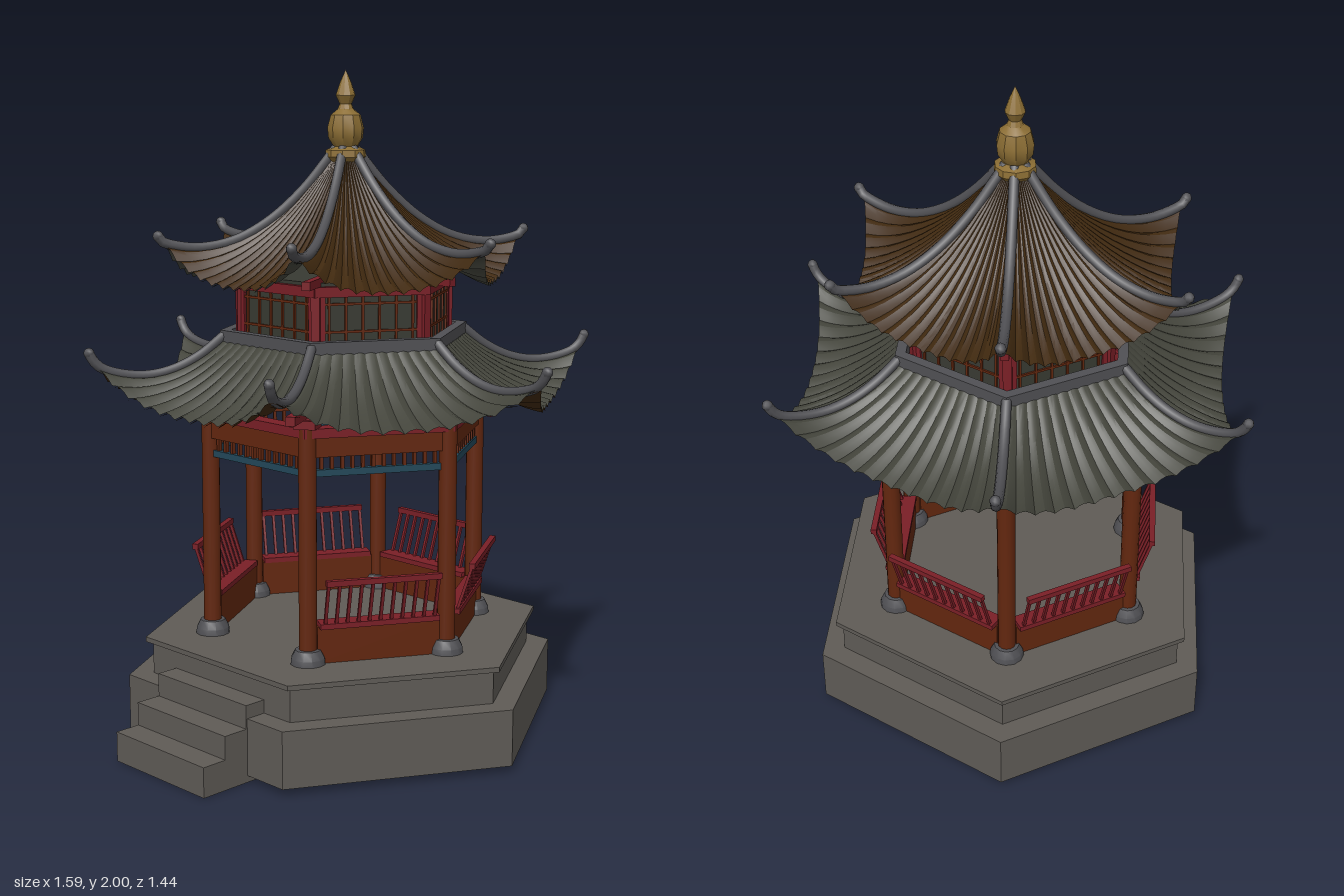
import * as THREE from 'three';
import { toCreasedNormals } from 'three/addons/utils/BufferGeometryUtils.js';

const mat = (name, color) => Object.assign(new THREE.MeshStandardMaterial({ color }), { name });

export function createModel() {
  const stone = mat('stone', 0x5f5b56);
  const ridgeGrey = mat('ridge grey', 0x505054);
  const greyTile = mat('grey green tile', 0x43443b);
  const amberTile = mat('amber tile', 0x40290f);
  const wood = mat('brown wood', 0x63270f);
  const red = mat('red lacquer', 0x7a1f26);
  const teal = mat('teal paint', 0x23485a);
  const gold = mat('gold', 0x8c6e34);
  const windowDark = mat('window', 0x383a32);

  const model = new THREE.Group();
  model.name = 'pavilion';
  const hexBody = new THREE.Group();
  hexBody.name = 'hexagonalBody';
  hexBody.position.z = -0.028;
  model.add(hexBody);

  const add = (parent, name, geo, material, x = 0, y = 0, z = 0) => {
    const m = new THREE.Mesh(geo, material);
    m.name = name;
    m.position.set(x, y, z);
    parent.add(m);
    return m;
  };
  // box given by width, bottom and top height, depth
  const box = (parent, name, material, w, y0, y1, d, x = 0, z = 0) =>
    add(parent, name, new THREE.BoxGeometry(w, y1 - y0, d), material, x, (y0 + y1) / 2, z);
  const hex = (name, material, r, y0, y1) =>
    add(hexBody, name, toCreasedNormals(
      new THREE.CylinderGeometry(r, r, y1 - y0, 6, 1, false, Math.PI / 6), 0.6), material, 0, (y0 + y1) / 2);
  // six copies around the axis; offset turns from sides to corners
  const around = (name, offset, build) => {
    for (let i = 0; i < 6; i++) {
      const g = new THREE.Group();
      g.name = name;
      g.rotation.y = i * Math.PI / 3 + offset;
      hexBody.add(g);
      build(g, i);
    }
  };
  const SIDE = 0, CORNER = Math.PI / 6, APO = Math.cos(Math.PI / 6);

  // stepped platform
  hex('platformBase', stone, 0.68, 0.02, 0.19);
  hex('platformUpper', stone, 0.605, 0.19, 0.29);
  hex('platformLip', stone, 0.627, 0.29, 0.305);

  // front stairs
  [[0.09, 0.725], [0.16, 0.645], [0.23, 0.565]].forEach(([top, z], i) =>
    box(model, 'step', stone, 0.39, i ? [0, 0.09, 0.16][i] : 0, top, z - 0.48, 0, (z + 0.48) / 2));

  // columns with stone feet, brackets and hip rafters
  const foot = toCreasedNormals(new THREE.LatheGeometry(
    [[0, 0], [0.052, 0], [0.05, 0.018], [0.038, 0.042], [0, 0.045]].map(p => new THREE.Vector2(...p)), 12), 0.6);
  const shaft = new THREE.CylinderGeometry(0.027, 0.027, 0.69, 12);
  around('columnCorner', CORNER, g => {
    add(g, 'columnFoot', foot, ridgeGrey, 0, 0.305, 0.42);
    add(g, 'column', shaft, wood, 0, 0.665, 0.42);
    box(g, 'bracketBlock', red, 0.065, 1.0, 1.025, 0.065, 0, 0.42);
    box(g, 'bracketNeck', red, 0.035, 1.025, 1.075, 0.035, 0, 0.42);
    box(g, 'hipRafter', red, 0.028, 1.036, 1.062, 0.24, 0, 0.47);
    box(g, 'upperPost', red, 0.026, 1.18, 1.39, 0.026, 0, 0.323);
    box(g, 'upperHipRafter', red, 0.024, 1.39, 1.415, 0.16, 0, 0.35);
  });

  // beams, hanging fretwork and leaning benches on each side
  around('bay', SIDE, (g, i) => {
    const d = 0.42 * APO;
    box(g, 'topBeam', red, 0.448, 0.972, 1.0, 0.05, 0, d);
    box(g, 'lintel', wood, 0.4, 0.915, 0.972, 0.03, 0, d);
    box(g, 'fretRail', teal, 0.38, 0.858, 0.878, 0.02, 0, d);
    for (let k = 0; k < 12; k++)
      box(g, 'fretSpindle', wood, 0.01, 0.875, 0.918, 0.012, -0.17 + k * 0.34 / 11, d);
    if (i === 0) return; // open entrance
    box(g, 'benchPanel', wood, 0.37, 0.305, 0.415, 0.03, 0, d);
    box(g, 'benchSeat', red, 0.36, 0.412, 0.428, 0.055, 0, d + 0.008);
    box(g, 'backRail', red, 0.345, 0.55, 0.567, 0.018, 0, 0.432);
    for (let k = 0; k < 11; k++) {
      const b = box(g, 'baluster', red, 0.009, 0.42, 0.558, 0.009, -0.165 + k * 0.033, 0.41);
      b.rotation.x = 0.31;
    }
  });

  // upper storey with lattice windows
  hex('upperStorey', windowDark, 0.325, 1.17, 1.4);
  around('upperWall', SIDE, g => {
    const d = 0.325 * APO;
    box(g, 'upperTopBand', red, 0.342, 1.36, 1.39, 0.035, 0, d);
    for (const s of [-1, 1]) box(g, 'windowJamb', red, 0.02, 1.2, 1.36, 0.014, s * 0.147, d);
    for (let k = 0; k < 6; k++)
      box(g, 'latticeBar', wood, 0.007, 1.2, 1.36, 0.009, -0.125 + k * 0.05, d + 0.001);
    for (const y of [1.255, 1.335]) box(g, 'latticeRail', wood, 0.28, y, y + 0.007, 0.009, 0, d + 0.001);
    box(g, 'roofCollar', ridgeGrey, 0.385, 1.19, 1.237, 0.03, 0, 0.32);
  });

  // Corrugated curved roof: heights follow y0 + a*v + b*v^2 on mid line and on ridge
  const roof = (name, top, under, o) => {
    const height = ([a, b], v) => o.y0 + a * v + b * v * v;
    const tiles = 12, per = 4, nu = tiles * per, nv = 12;
    const pos = [], up = [], down = [];
    for (let j = 0; j <= nv; j++) for (let i = 0; i <= nu; i++) {
      const v = j / nv, u = i / nu * 2 - 1, c = Math.abs(u);
      const edge = THREE.MathUtils.lerp(o.mid, o.r1 * APO, c * c);
      const bump = o.bump * Math.sin(Math.PI * (i % per) / per) * Math.min(1, 0.25 + v);
      const yMid = height(o.midCurve, v), yRidge = height(o.ridgeCurve, v);
      pos.push(THREE.MathUtils.lerp(o.r0, o.r1, v) / 2 * u,
        THREE.MathUtils.lerp(yMid, yRidge, c ** 2.6) + bump,
        THREE.MathUtils.lerp(o.r0 * APO, edge, v));
      if (i < nu && j < nv) {
        const p = j * (nu + 1) + i, q = p + nu + 1;
        up.push(p, q, p + 1, q, q + 1, p + 1);
        down.push(p, p + 1, q, q, p + 1, q + 1);
      }
    }
    const surface = index => {
      const geo = new THREE.BufferGeometry();
      geo.setAttribute('position', new THREE.Float32BufferAttribute(pos, 3));
      geo.setIndex(index);
      return toCreasedNormals(geo, 0.35);
    };
    const upper = surface(up), lower = surface(down);
    around(name + 'Slope', SIDE, g => {
      add(g, name + 'Tiles', upper, top);
      add(g, name + 'Underside', lower, under, 0, -0.005);
    });
    // ridges with upturned tips
    const path = [0, 0.2, 0.4, 0.6, 0.8, 0.95].map(v => new THREE.Vector3(
      0, height(o.ridgeCurve, v) + 0.01, THREE.MathUtils.lerp(o.r0, o.r1, v)));
    o.tip.forEach(([r, y]) => path.push(new THREE.Vector3(0, y, r)));
    const tube = new THREE.TubeGeometry(new THREE.CatmullRomCurve3(path), 28, 0.015, 8);
    const knob = new THREE.SphereGeometry(0.016, 8, 6);
    const end = path[path.length - 1];
    around(name + 'Ridge', CORNER, g => {
      add(g, name + 'RidgeTube', tube, ridgeGrey);
      add(g, name + 'RidgeTip', knob, ridgeGrey, 0, end.y, end.z);
    });
  };
  roof('lowerRoof', greyTile, amberTile, {
    r0: 0.37, r1: 0.76, mid: 0.622, y0: 1.215, bump: 0.013,
    midCurve: [-0.32, 0.125], ridgeCurve: [-0.359, 0.279], tip: [[0.765, 1.158], [0.778, 1.182]]
  });
  roof('upperRoof', amberTile, greyTile, {
    r0: 0.03, r1: 0.55, mid: 0.452, y0: 1.76, bump: 0.012,
    midCurve: [-0.63, 0.25], ridgeCurve: [-0.71, 0.44], tip: [[0.555, 1.503], [0.568, 1.52]]
  });

  // gilded finial
  const profile = [[0, 1.7], [0.03, 1.71], [0.062, 1.745], [0.06, 1.765], [0.036, 1.775], [0.052, 1.8], [0.055, 1.83],
    [0.045, 1.868], [0.024, 1.885], [0.018, 1.9], [0.03, 1.925], [0.016, 1.965], [0, 2.0]];
  add(hexBody, 'finial', toCreasedNormals(
    new THREE.LatheGeometry(profile.map(p => new THREE.Vector2(...p)), 10), 0.5), gold);

  return model;
}
